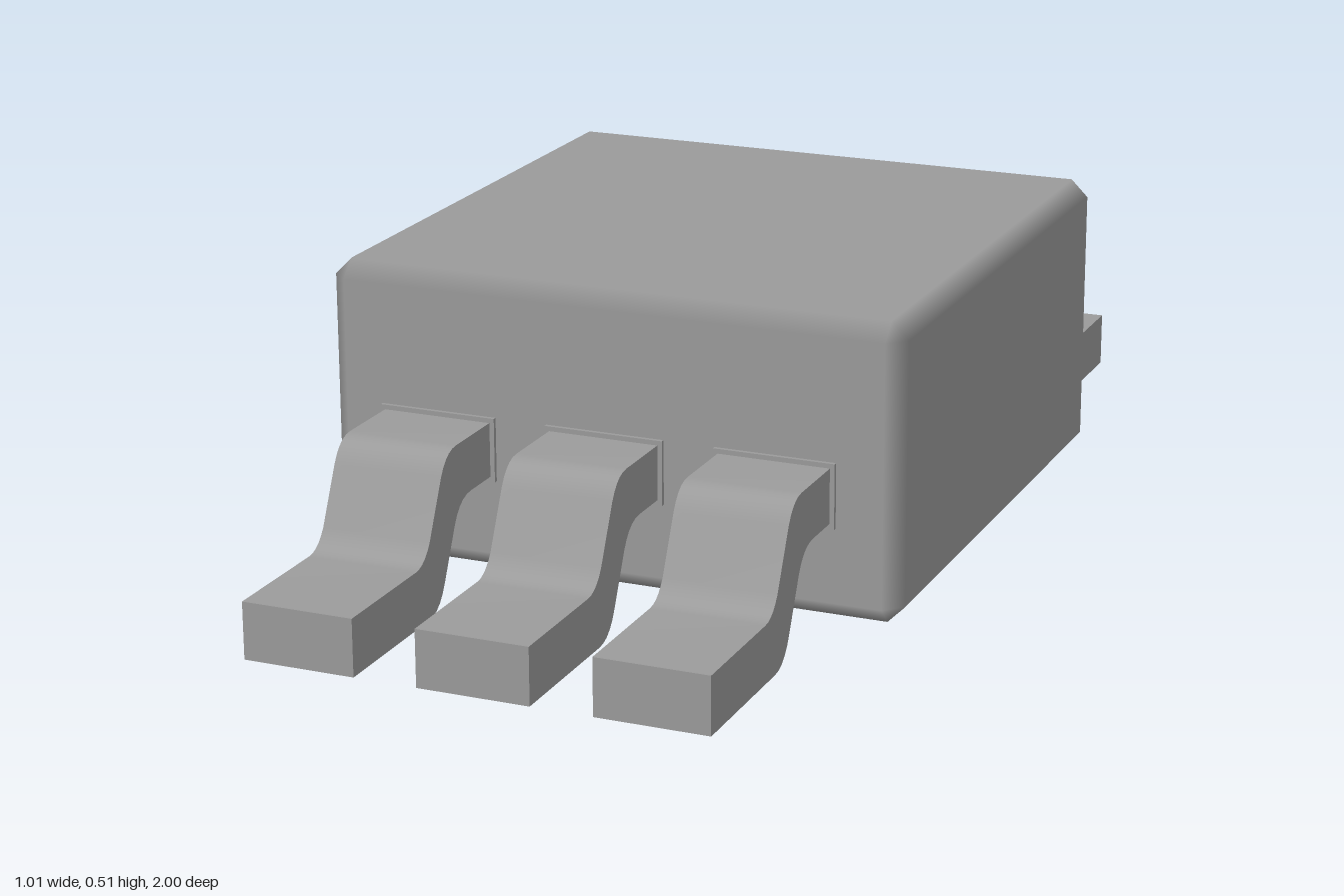
import * as THREE from 'three';
import { toCreasedNormals } from 'three/addons/utils/BufferGeometryUtils.js';

const material = new THREE.MeshStandardMaterial({ color: 0x9b9b9b, side: THREE.DoubleSide });
const HALF = 0.505; // half width and depth of the housing

// Chamfered box shell, open underneath, with normals blending across the chamfers
function housingGeometry(half, chamfer, y0, y1) {
  const a = half, b = half - chamfer;
  const octagon = [[a, b], [b, a], [-b, a], [-a, b], [-a, -b], [-b, -a], [b, -a], [a, -b]];
  const rings = [
    { y: y0, ny: -1 }, { y: y0 + chamfer, ny: 0 },
    { y: y1 - chamfer, ny: 0 }, { y: y1, ny: 1 },
  ];
  const pos = [], nor = [], index = [];
  for (const { y, ny } of rings) {
    for (const [x, z] of octagon) {
      if (ny) {
        pos.push(Math.sign(x) * b, y, Math.sign(z) * b);
        nor.push(0, ny, 0);
      } else {
        pos.push(x, y, z);
        nor.push(Math.abs(x) === a ? Math.sign(x) : 0, 0, Math.abs(z) === a ? Math.sign(z) : 0);
      }
    }
  }
  pos.push(0, y1, 0);
  nor.push(0, 1, 0);
  for (let i = 0; i < 8; i++) {
    const j = (i + 1) % 8;
    for (let r = 0; r < 3; r++) {
      const p = r * 8 + i, q = r * 8 + j;
      index.push(p, p + 8, q, q, p + 8, q + 8);
    }
    index.push(32, 24 + j, 24 + i); // top cap
  }
  const g = new THREE.BufferGeometry();
  g.setAttribute('position', new THREE.Float32BufferAttribute(pos, 3));
  g.setAttribute('normal', new THREE.Float32BufferAttribute(nor, 3));
  g.setIndex(index);
  return g;
}

// Gull-wing lead: side profile (z, y) extruded across its width, sole left open
function leadGeometry(width) {
  const profile = new THREE.Shape();
  profile.moveTo(HALF, 0.17);
  profile.lineTo(0.585, 0.17);
  profile.quadraticCurveTo(0.625, 0.17, 0.645, 0.13);
  profile.lineTo(0.685, 0.045);
  profile.quadraticCurveTo(0.705, 0, 0.745, 0);
  profile.lineTo(1, 0);
  profile.lineTo(1, 0.097);
  profile.lineTo(0.785, 0.097);
  profile.quadraticCurveTo(0.755, 0.097, 0.735, 0.13);
  profile.lineTo(0.69, 0.225);
  profile.quadraticCurveTo(0.67, 0.263, 0.635, 0.263);
  profile.lineTo(HALF, 0.263);
  const solid = new THREE.ExtrudeGeometry(profile, { depth: width, bevelEnabled: false, curveSegments: 5 });
  solid.rotateY(-Math.PI / 2).translate(width / 2, 0, 0);

  const p = solid.attributes.position, kept = [];
  for (let i = 0; i < p.count; i += 3) {
    const corners = [i, i + 1, i + 2];
    if (corners.every((k) => p.getY(k) < 1e-5)) continue; // skip the sole
    for (const k of corners) kept.push(p.getX(k), p.getY(k), p.getZ(k));
  }
  const g = new THREE.BufferGeometry();
  g.setAttribute('position', new THREE.Float32BufferAttribute(kept, 3));
  return toCreasedNormals(g, Math.PI / 5);
}

export function createModel() {
  const model = new THREE.Group();
  const add = (parent, geometry, name) => {
    const mesh = new THREE.Mesh(geometry, material);
    mesh.name = name;
    parent.add(mesh);
    return mesh;
  };

  add(model, housingGeometry(HALF, 0.03, 0.003, 0.507), 'housing');

  // Three leads on the front and the back, each with a thin collar on the housing wall
  const lead = leadGeometry(0.192);
  const thickness = 0.007;
  const collar = new THREE.BoxGeometry(0.208, 0.11, thickness);
  for (const side of [1, -1]) {
    const row = new THREE.Group();
    row.name = side > 0 ? 'frontLeads' : 'backLeads';
    for (const x of [-0.305, -0.005, 0.292]) {
      const l = add(row, lead, 'lead');
      l.position.x = x;
      l.rotation.y = side > 0 ? 0 : Math.PI;
      add(row, collar, 'collar').position.set(x, 0.216, side * (HALF + thickness / 2));
    }
    model.add(row);
  }
  return model;
}
